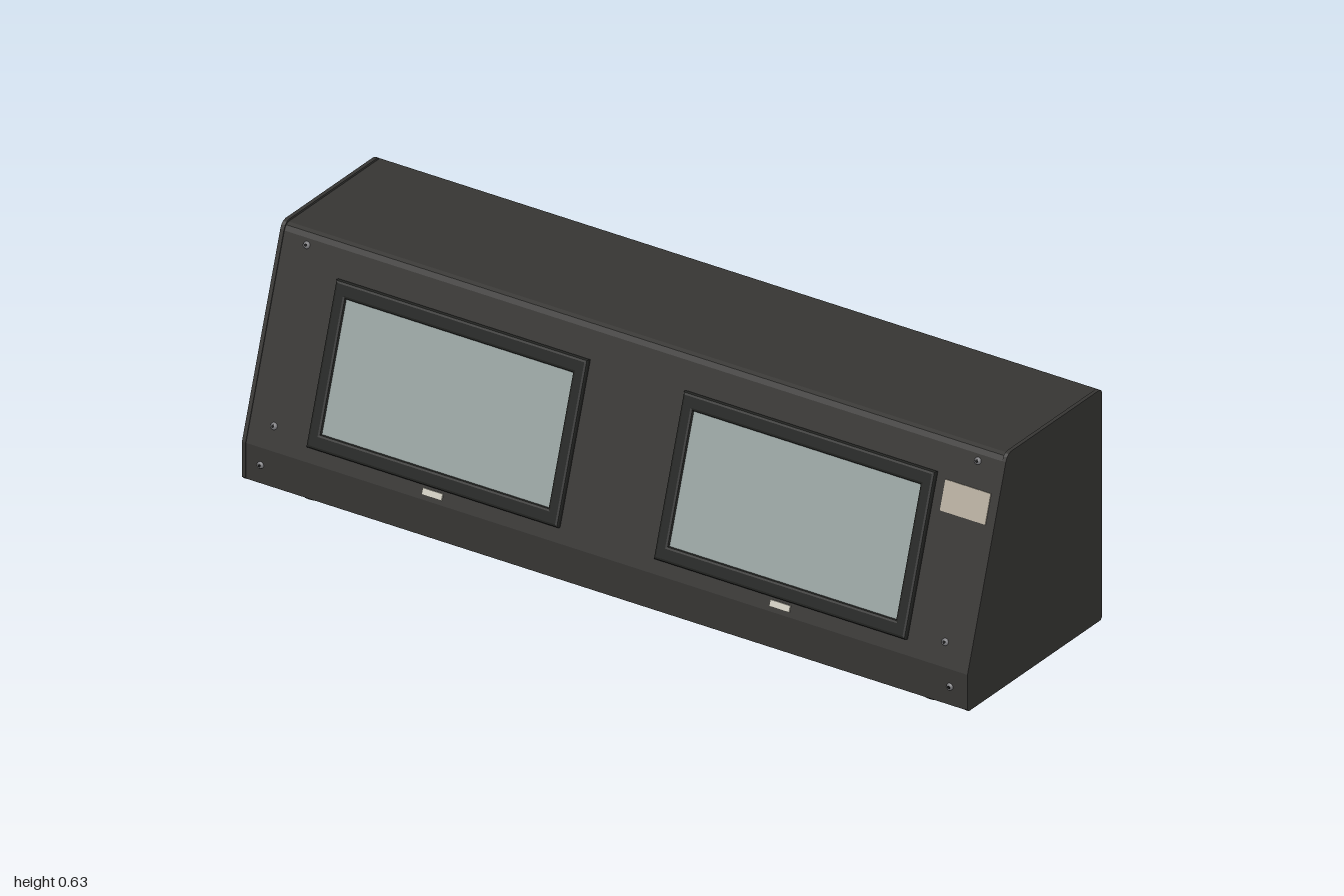
import * as THREE from 'three';

const mat = (color) => new THREE.MeshStandardMaterial({ color });
const shellMat = mat(0x363533), trimMat = mat(0x222321), rubberMat = mat(0x1e1e1d);
const screenMat = mat(0x97a2a0), labelMat = mat(0xb3ab9c), tabMat = mat(0xd0cdc0);
const metalMat = mat(0x77777a), holeMat = mat(0x111111);

const TILT = Math.atan2(0.155, 0.48); // lean of the display panel
const BACK = -0.263;                  // plane of the recessed rear panel

function add(parent, name, geometry, material, x = 0, y = 0, z = 0) {
  const mesh = new THREE.Mesh(geometry, material);
  mesh.name = name;
  mesh.position.set(x, y, z);
  parent.add(mesh);
  return mesh;
}

// Extrudes a (z, y) side profile across x, centred on x = 0
function sideExtrude(points, width) {
  const shape = new THREE.Shape(points.map(([z, y]) => new THREE.Vector2(z, y)));
  const geometry = new THREE.ExtrudeGeometry(shape, { depth: width, bevelEnabled: false });
  return geometry.translate(0, 0, -width / 2).rotateY(-Math.PI / 2);
}

function rectPath(PathClass, w, h) {
  return new PathClass([[-w, -h], [w, -h], [w, h], [-w, h]].map(([x, y]) => new THREE.Vector2(x / 2, y / 2)));
}

// Cylinder whose axis runs along z
const disc = (r, depth, sides = 20) => new THREE.CylinderGeometry(r, r, depth, sides).rotateX(Math.PI / 2);

// Domed screw head with a dark hex socket, facing +z
function screw(parent, x, y, z, flip = false) {
  const group = new THREE.Group();
  group.name = 'screw';
  const dome = [[0.009, 0], [0.008, 0.003], [0.005, 0.005], [0, 0.0055]].map(([r, h]) => new THREE.Vector2(r, h));
  add(group, 'screwHead', new THREE.LatheGeometry(dome, 16).rotateX(Math.PI / 2), metalMat);
  add(group, 'screwSocket', disc(0.004, 0.001, 6), holeMat, 0, 0, 0.0055);
  group.position.set(x, y, z);
  if (flip) group.rotation.y = Math.PI;
  parent.add(group);
}

function createDisplay(x) {
  const group = new THREE.Group();
  group.name = 'display';
  const frame = rectPath(THREE.Shape, 0.68, 0.385);
  frame.holes.push(rectPath(THREE.Path, 0.64, 0.335));
  const geometry = new THREE.ExtrudeGeometry(frame, {
    depth: 0.008, bevelThickness: 0.005, bevelSize: 0.007, bevelSegments: 2,
  });
  add(group, 'bezel', geometry, trimMat);
  add(group, 'screen', new THREE.BoxGeometry(0.64, 0.335, 0.006), screenMat, 0, 0, 0.004);
  add(group, 'statusTab', new THREE.BoxGeometry(0.055, 0.016, 0.004), tabMat, 0, -0.216, 0.002);
  group.position.set(x, 0.236, 0);
  return group;
}

function createJack(x) {
  const group = new THREE.Group();
  group.name = 'jack';
  add(group, 'jackNut', disc(0.022, 0.008, 6), metalMat, 0, 0, -0.004);
  add(group, 'jackRing', new THREE.TorusGeometry(0.014, 0.003, 8, 24), metalMat, 0, 0, -0.010);
  add(group, 'jackHole', disc(0.012, 0.002), holeMat, 0, 0, -0.0085);
  add(group, 'jackLabel', new THREE.BoxGeometry(0.07, 0.012, 0.002), tabMat, 0, 0.052, -0.001);
  group.position.set(x, 0.168, BACK);
  return group;
}

export function createModel() {
  const model = new THREE.Group();
  model.name = 'displayConsole';

  // Main shell, slightly inside the outline of the end plates
  add(model, 'shell', sideExtrude([
    [0.272, 0.038], [0.272, 0.13], [0.117, 0.61], [0.110, 0.622], [0.100, 0.626],
    [BACK, 0.626], [BACK, 0.038],
  ], 1.984), shellMat);

  // End plates with softened corners
  for (const side of [-1, 1]) {
    add(model, 'endPlate', sideExtrude([
      [0.268, 0.035], [0.274, 0.041], [0.274, 0.131], [0.119, 0.612], [0.114, 0.622], [0.108, 0.628],
      [0.098, 0.631], [-0.259, 0.631], [-0.266, 0.628], [-0.270, 0.621], [-0.270, 0.041], [-0.264, 0.035],
    ], 0.01), shellMat, side * 0.995);
  }

  // Folded lips above and below the rear panel
  for (const y of [0.622, 0.042]) {
    add(model, 'rearLip', new THREE.BoxGeometry(1.98, 0.008, 0.008), shellMat, 0, y, BACK - 0.002);
  }

  // Everything mounted on the leaning front panel
  const panel = new THREE.Group();
  panel.name = 'frontPanel';
  panel.position.set(0, 0.13, 0.272);
  panel.rotation.x = -TILT;
  model.add(panel);
  for (const side of [-1, 1]) {
    panel.add(createDisplay(side * 0.479));
    for (const y of [0.058, 0.488]) screw(panel, side * 0.925, y, 0);
    screw(model, side * 0.95, 0.085, 0.272);
  }
  add(panel, 'infoPlate', new THREE.BoxGeometry(0.125, 0.074, 0.003), labelMat, 0.913, 0.387, 0.001);

  // Rear fittings
  for (const x of [-0.25, 0.25]) model.add(createJack(x));
  const socket = new THREE.Group();
  socket.name = 'powerSocket';
  add(socket, 'socketBody', disc(0.026, 0.008, 24), rubberMat, 0, 0, -0.004);
  add(socket, 'socketRim', new THREE.TorusGeometry(0.018, 0.005, 8, 24), rubberMat, 0, 0, -0.009);
  socket.position.set(0.75, 0.168, BACK);
  model.add(socket);
  for (const x of [-0.93, 0, 0.93]) {
    for (const y of [0.09, 0.575]) screw(model, x, y, BACK, true);
  }

  // Round rubber feet
  const foot = [[0, 0], [0.041, 0], [0.045, 0.004], [0.045, 0.031], [0.042, 0.035], [0.042, 0.04]]
    .map(([r, y]) => new THREE.Vector2(r, y));
  for (const x of [-0.855, 0.855]) {
    for (const z of [-0.175, 0.175]) add(model, 'foot', new THREE.LatheGeometry(foot, 28), rubberMat, x, 0, z);
  }
  return model;
}
